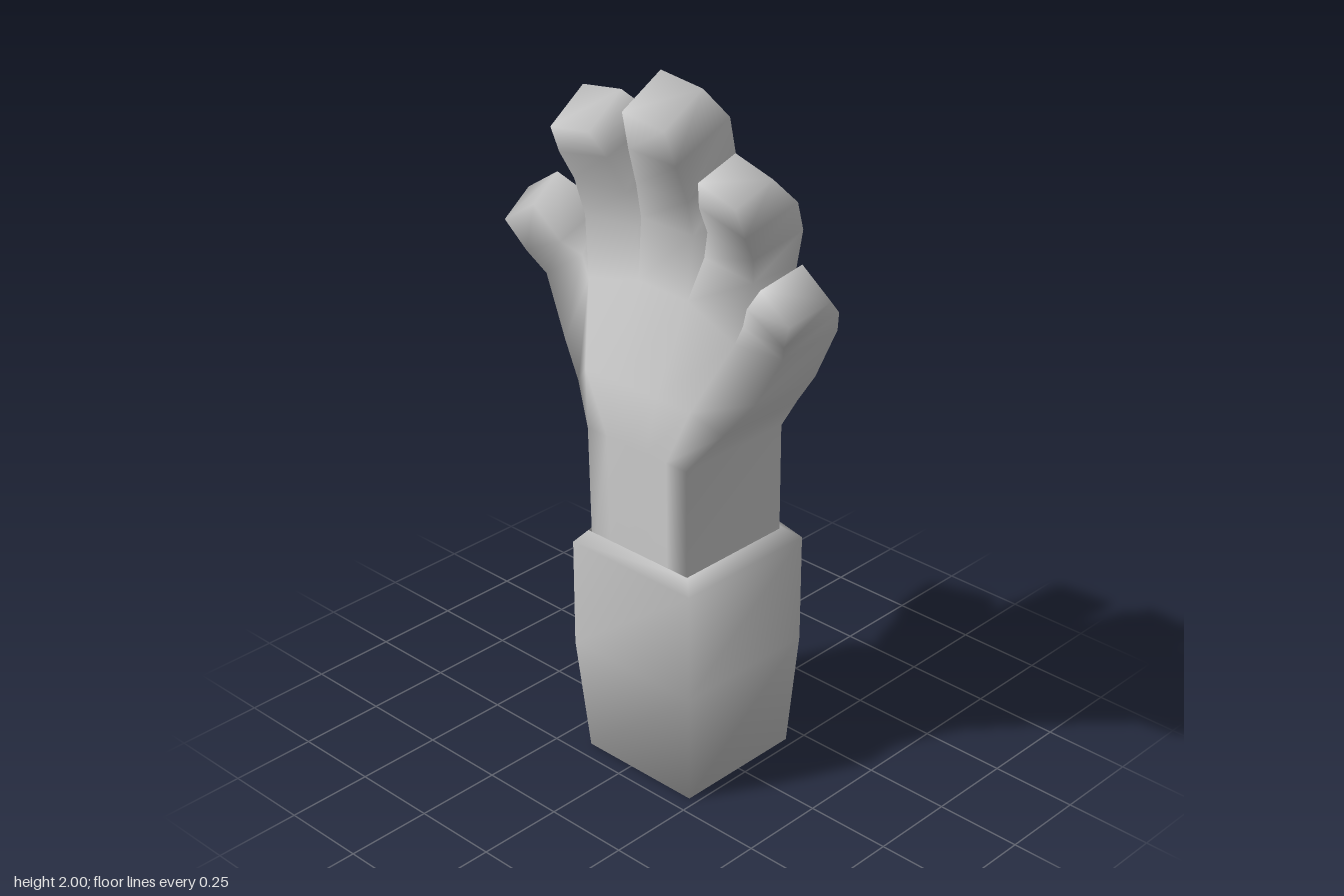
import * as THREE from 'three';
import { mergeVertices } from 'three/addons/utils/BufferGeometryUtils.js';

const material = new THREE.MeshStandardMaterial({ color: 0xcccccc, side: THREE.DoubleSide });

// Collects quads, then welds them into one smooth surface
function surface() {
  const pos = [];
  const quad = (a, b, c, d) => pos.push(...a, ...b, ...c, ...a, ...c, ...d);
  return {
    quad,
    // Rings run counterclockwise seen from above, lowest ring first
    loft(rings) {
      for (let i = 0; i + 1 < rings.length; i++) {
        const a = rings[i], b = rings[i + 1], n = a.length;
        for (let j = 0; j < n; j++) quad(a[j], a[(j + 1) % n], b[(j + 1) % n], b[j]);
      }
    },
    mesh(name) {
      let g = new THREE.BufferGeometry();
      g.setAttribute('position', new THREE.Float32BufferAttribute(pos, 3));
      g = mergeVertices(g, 1e-4);
      g.computeVertexNormals();
      const m = new THREE.Mesh(g, material);
      m.name = name;
      return m;
    },
  };
}

// Rectangular ring: front right corner first, in the model's own terms
const box = (y, x0, x1, zb, zf, backRise = 0) =>
  [[x0, y, zf], [x1, y, zf], [x1, y, zb], [x0, y + backRise, zb]];

// Finger ring from its back edge (l to r); the front edge is set back by s to curl the finger
function fingerRing([lx, ly, rx, ry, zb, zf, s]) {
  const w = Math.hypot(rx - lx, ry - ly);
  const dx = (ly - ry) / w * s, dy = (rx - lx) / w * s;
  return [[lx - dx, ly - dy, zf], [rx - dx, ry - dy, zf], [rx, ry, zb], [lx, ly, zb]];
}

// Palm ring of six columns [x, y, zBack, zFront]
const palmRing = (cols) => [
  ...cols.map(([x, y, , zf]) => [x, y, zf]),
  ...cols.map(([x, y, zb]) => [x, y, zb]).reverse(),
];

function makeSleeve() {
  const s = surface();
  const rings = [
    box(0, -0.16, 0.225, -0.2, 0.2),
    box(0.34, -0.19, 0.245, -0.225, 0.225),
    box(0.66, -0.19, 0.245, -0.225, 0.225),
    box(0.7, -0.155, 0.215, -0.175, 0.2, 0.09),
  ];
  s.loft(rings);
  const [a, b, c, d] = rings[0];
  s.quad(d, c, b, a);
  return s.mesh('sleeve');
}

function makeHand() {
  const s = surface();
  // Wrist columns spread out into the knuckle line
  const wrist = (y, x0, x1) => [0, 1, 2, 3, 4, 5].map((i) => [x0 + (x1 - x0) * i / 5, y, -0.173, 0.195]);
  const middle = [
    [-0.245, 1.1, -0.145, 0.14], [-0.18, 1.17, -0.17, 0.175], [-0.05, 1.18, -0.175, 0.185],
    [0.09, 1.18, -0.175, 0.185], [0.2, 1.17, -0.17, 0.175], [0.285, 1.12, -0.145, 0.14],
  ];
  const knuckles = [
    [-0.335, 1.18, -0.12, 0.1], [-0.255, 1.38, -0.12, 0.085], [-0.06, 1.435, -0.12, 0.095],
    [0.115, 1.43, -0.12, 0.095], [0.27, 1.355, -0.12, 0.085], [0.357, 1.22, -0.13, 0.1],
  ];
  s.loft([wrist(0.62, -0.145, 0.208), wrist(1.01, -0.155, 0.207), middle, knuckles].map(palmRing));

  // Fingers from the right side of the hand to the left
  const fingers = [
    [[-0.44, 1.355, -0.3, 1.45, -0.11, 0.075, 0.02],
      [-0.49, 1.45, -0.355, 1.515, -0.07, 0.11, 0.05],
      [-0.55, 1.54, -0.435, 1.615, 0.02, 0.14, 0.06]],
    [[-0.28, 1.55, -0.085, 1.57, -0.095, 0.07, 0],
      [-0.305, 1.69, -0.115, 1.7, -0.1, 0.085, 0.04],
      [-0.325, 1.79, -0.15, 1.82, -0.07, 0.125, 0.06],
      [-0.32, 1.89, -0.18, 1.91, 0.03, 0.16, 0.08]],
    [[-0.073, 1.6, 0.11, 1.6, -0.095, 0.07, 0],
      [-0.075, 1.745, 0.105, 1.745, -0.1, 0.085, 0.05],
      [-0.06, 1.885, 0.105, 1.88, -0.07, 0.125, 0.08],
      [-0.04, 1.995, 0.105, 1.98, 0.03, 0.16, 0.08]],
    [[0.145, 1.55, 0.312, 1.53, -0.1, 0.065, 0],
      [0.175, 1.66, 0.33, 1.63, -0.1, 0.08, 0.03],
      [0.19, 1.76, 0.345, 1.72, -0.06, 0.12, 0.05],
      [0.225, 1.845, 0.35, 1.81, 0.04, 0.16, 0.05]],
    [[0.3, 1.43, 0.435, 1.38, -0.12, 0.08, 0.02],
      [0.355, 1.525, 0.48, 1.46, -0.07, 0.11, 0.05],
      [0.45, 1.615, 0.545, 1.545, 0.04, 0.16, 0.05]],
  ];
  fingers.forEach((rows, i) => {
    const [l, r] = [knuckles[i], knuckles[i + 1]];
    const root = [[l[0], l[1], l[3]], [r[0], r[1], r[3]], [r[0], r[1], r[2]], [l[0], l[1], l[2]]];
    const rings = [root, ...rows.map(fingerRing)];
    s.loft(rings);
    s.quad(...rings[rings.length - 1]);
  });
  return s.mesh('hand');
}

export function createModel() {
  const group = new THREE.Group();
  group.name = 'forearmAndHand';
  group.add(makeSleeve(), makeHand());
  return group;
}
